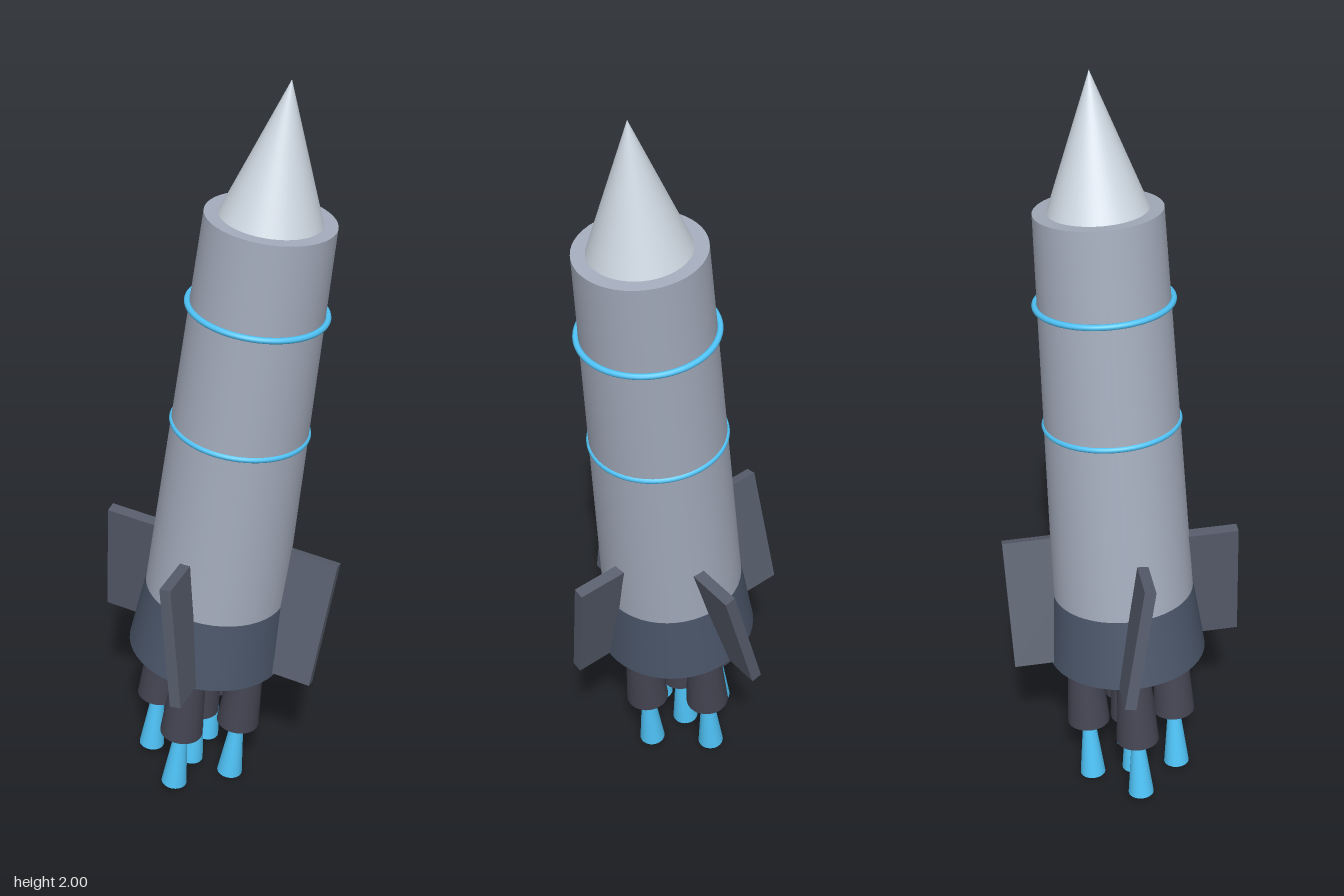
import * as THREE from 'three';

const material = (color) => new THREE.MeshStandardMaterial({ color });
const hull = material(0xa4acbc);
const noseGrey = material(0xcfd8e2);
const skirtGrey = material(0x4a5568);
const finGrey = material(0x565c6b);
const engineGrey = material(0x444452);
const cyan = material(0x4fc3f7);

const TURN = THREE.MathUtils.degToRad(18); // roll of the fins and engines

export function createModel() {
  const model = new THREE.Group();
  model.name = 'rocket';

  // The whole rocket leans to its left and forward
  const rocket = new THREE.Group();
  rocket.name = 'leaningRocket';
  rocket.position.set(-0.057, 0, -0.049);
  rocket.quaternion.setFromUnitVectors(
    new THREE.Vector3(0, 1, 0),
    new THREE.Vector3(0.076, 1, 0.097).normalize()
  );
  model.add(rocket);

  const add = (parent, name, geometry, mat, x = 0, y = 0, z = 0) => {
    const mesh = new THREE.Mesh(geometry, mat);
    mesh.name = name;
    mesh.position.set(x, y, z);
    parent.add(mesh);
    return mesh;
  };
  // Round section between two heights on a vertical axis
  const taper = (name, rBottom, rTop, y0, y1, mat, x = 0, z = 0) =>
    add(rocket, name, new THREE.CylinderGeometry(rTop, rBottom, y1 - y0, 48),
      mat, x, (y0 + y1) / 2, z);

  // Fuselage, flared skirt and nose cone
  taper('body', 0.188, 0.161, 0.615, 1.675, hull);
  taper('skirt', 0.213, 0.189, 0.423, 0.615, skirtGrey);
  add(rocket, 'noseCone', new THREE.ConeGeometry(0.126, 0.34, 48), noseGrey, 0, 1.845, 0);

  // Trim rings
  for (const y of [1.11, 1.438]) {
    const ring = add(rocket, 'ring', new THREE.TorusGeometry(0.173, 0.0078, 12, 64), cyan, 0, y, 0);
    ring.rotation.x = Math.PI / 2;
  }

  // Engine bell with its flared exhaust
  const addEngine = (x, z) => {
    taper('engine', 0.058, 0.038, 0.199, 0.5, engineGrey, x, z);
    taper('exhaust', 0.035, 0.014, 0.019, 0.22, cyan, x, z);
  };
  addEngine(0, 0);

  // Four canted fins, with an outer engine in line with each
  for (let i = 0; i < 4; i++) {
    const angle = TURN + (i * Math.PI) / 2;
    const mount = new THREE.Group();
    mount.name = 'finMount';
    mount.rotation.y = angle;
    rocket.add(mount);
    const fin = add(mount, 'fin', new THREE.BoxGeometry(0.03, 0.35, 0.25), finGrey, 0, 0.6, 0.186);
    fin.rotation.z = i % 2 ? 0.2 : -0.2;
    addEngine(0.12 * Math.sin(angle), 0.12 * Math.cos(angle));
  }
  return model;
}
